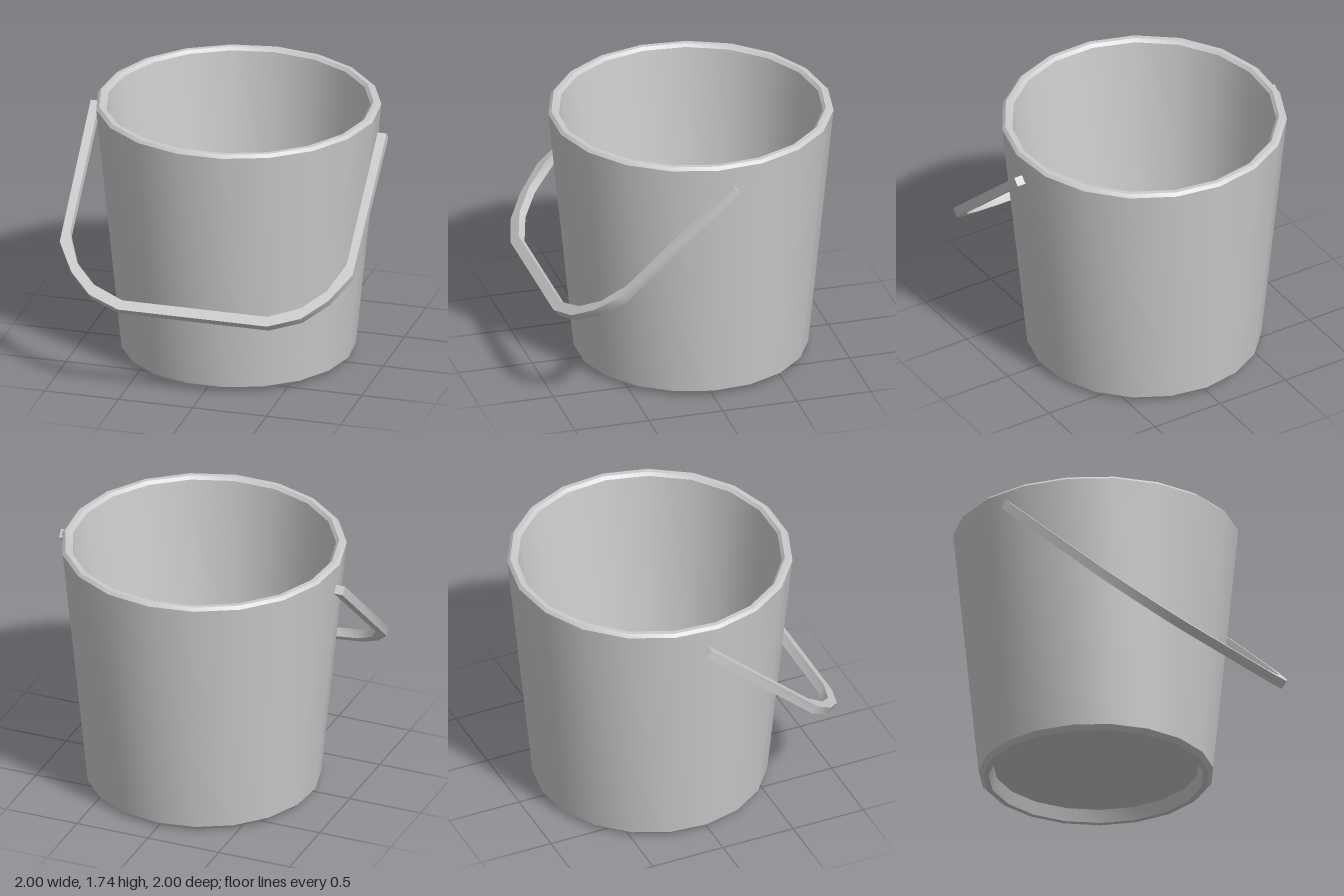
import * as THREE from 'three';
import { toCreasedNormals } from 'three/addons/utils/BufferGeometryUtils.js';

const SIDES = 19;
const material = new THREE.MeshStandardMaterial({ color: 0xcccccc });
const points = (list) => list.map(([x, y]) => new THREE.Vector2(x, y));

function addMesh(group, name, geometry, crease) {
  const mesh = new THREE.Mesh(toCreasedNormals(geometry, crease), material);
  mesh.name = name;
  group.add(mesh);
  return mesh;
}

export function createModel() {
  const group = new THREE.Group();
  group.name = 'bucket';

  // Tapered body: recessed base, foot chamfer, outer wall, rim, inner wall, floor
  const profile = points([
    [0, 0.08], [0.67, 0.08], [0.7, 0], [0.735, 0], [0.765, 0.03],
    [0.93, 1.715], [0.91, 1.735], [0.88, 1.735], [0.86, 1.715],
    [0.66, 0.1], [0, 0.1],
  ]);
  const body = addMesh(group, 'body', new THREE.LatheGeometry(profile, SIDES, Math.PI), 0.5);
  body.position.z = -0.07;

  // Handle: a flat U-shaped band, given as half outlines and mirrored
  const outer = [[1, 0], [0.99, -1.026], [0.87, -1.227], [0.715, -1.376], [0.505, -1.458]];
  const inner = [[0.49, -1.389], [0.7, -1.3], [0.845, -1.158], [0.935, -0.957], [0.94, 0]];
  const mirror = (half) => half.map(([x, y]) => [-x, y]).reverse();
  const outline = [...outer, ...mirror(outer), ...mirror(inner), ...inner];
  const band = new THREE.ExtrudeGeometry(new THREE.Shape(points(outline)), {
    depth: 0.06, bevelEnabled: false,
  });
  band.translate(0, 0, -0.03);
  const handle = addMesh(group, 'handle', band, 0.7);

  // Handle hangs forward and down from near the rim
  handle.rotation.x = -0.836;
  handle.position.set(0, 1.59, -0.1);

  return group;
}
